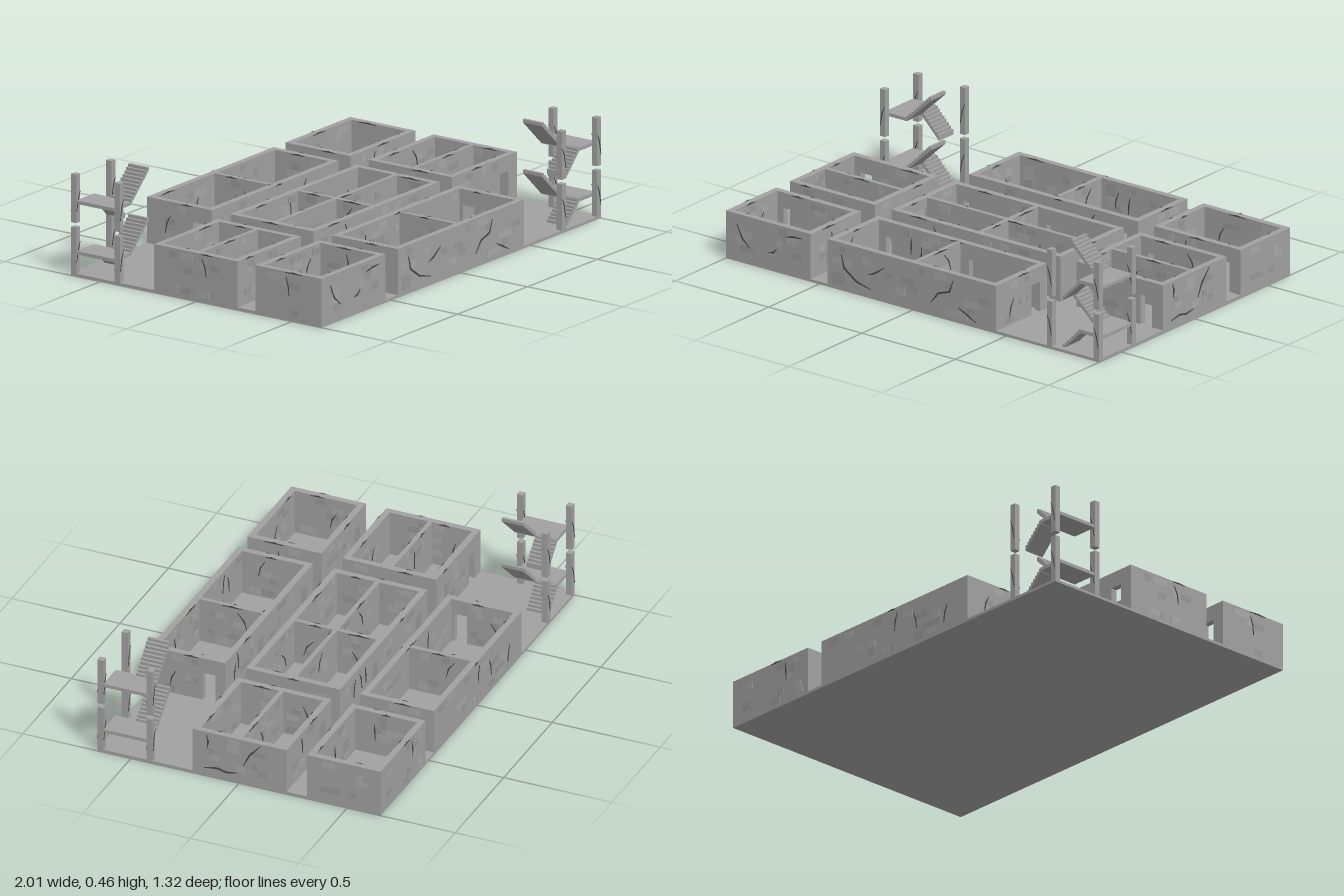
import * as THREE from 'three';
import { mergeGeometries } from 'three/addons/utils/BufferGeometryUtils.js';

const mat = (name, color) => Object.assign(new THREE.MeshStandardMaterial({ color }), { name });

export function createModel() {
  const stone = mat('concrete grey', 0xa1a1a1);
  const pale = mat('pale concrete', 0xa8a8a8);
  const dull = mat('dull concrete', 0x989898);
  const crackMat = mat('crack dark grey', 0x484848);
  const model = new THREE.Group();
  model.name = 'ruinedBuildingFloor';

  const FLOOR = 0.012, TOP = 0.215, T = 0.028;
  let seed = 11;
  const rnd = (a = 0, b = 1) => {
    seed = (seed * 16807) % 2147483647;
    return a + (b - a) * seed / 2147483647;
  };
  const add = (parent, geo, material, name) => {
    const m = new THREE.Mesh(geo, material);
    m.name = name;
    parent.add(m);
    return m;
  };
  const box = (parent, name, x0, x1, y0, y1, z0, z1) => {
    const g = new THREE.BoxGeometry(x1 - x0, y1 - y0, z1 - z0);
    g.translate((x0 + x1) / 2, (y0 + y1) / 2, (z0 + z1) / 2);
    return add(parent, g, stone, name);
  };

  // Tapered crack plate following a few points, centred on depth z
  function crackPlate(pts, z, w = 0.004) {
    const left = [], right = [];
    pts.forEach(([u, v], i) => {
      const a = pts[Math.max(i - 1, 0)], b = pts[Math.min(i + 1, pts.length - 1)];
      const d = new THREE.Vector2(b[0] - a[0], b[1] - a[1]).normalize();
      const h = i === 0 || i === pts.length - 1 ? w * 0.3 : w;
      left.push(new THREE.Vector2(u - d.y * h, v + d.x * h));
      right.unshift(new THREE.Vector2(u + d.y * h, v - d.x * h));
    });
    const g = new THREE.ExtrudeGeometry(new THREE.Shape([...left, ...right]), { depth: 0.005, bevelEnabled: false });
    return g.translate(0, 0, z - 0.0025);
  }

  // Straight wall from a to b; alongX walls sit at z = c, the others at x = c
  function wall(parent, alongX, c, a, b, { t = T, doors = [], cracks = null, crackSide = 1 } = {}) {
    const group = new THREE.Group();
    group.name = 'wall';
    const pts = [[a, FLOOR]];
    [...doors].sort((p, q) => p - q).forEach(d =>
      pts.push([d - 0.03, FLOOR], [d - 0.03, 0.145], [d + 0.03, 0.145], [d + 0.03, FLOOR]));
    pts.push([b, FLOOR], [b, TOP], [a, TOP]);
    const g = new THREE.ExtrudeGeometry(new THREE.Shape(pts.map(p => new THREE.Vector2(...p))),
      { depth: t, bevelEnabled: false });
    add(group, g.translate(0, 0, -t / 2), stone, 'wallPanel');

    const clear = (u0, u1) => doors.every(d => u1 < d - 0.035 || u0 > d + 0.035);
    const patches = { pale: [], dull: [] }, crackGeos = [];
    for (const s of [-1, 1]) {
      // Faint block-shaped stains
      for (let i = 0; i < Math.round((b - a) * 22); i++) {
        const w = rnd(0.03, 0.07), u = rnd(a + 0.05, b - 0.05);
        const y = FLOOR + 0.025 + 0.03 * Math.floor(rnd(0, 6));
        if (!clear(u - w / 2, u + w / 2)) continue;
        const p = new THREE.BoxGeometry(w, 0.029, 0.0015);
        p.translate(u, y, s * t / 2);
        patches[i % 2 ? 'pale' : 'dull'].push(p);
      }
      // Cracks
      if (cracks && s === crackSide) {
        cracks.forEach(k => crackGeos.push(crackPlate(k, s * t / 2)));
        continue;
      }
      for (let i = 0; i < Math.max(1, Math.round((b - a) * 3)); i++) {
        const u = rnd(a + 0.07, b - 0.07), y = rnd(0.12, 0.2), k = rnd(-0.05, 0.05);
        if (!clear(u - 0.06, u + 0.06)) continue;
        crackGeos.push(crackPlate([[u, y], [u + k * 0.7, y - 0.035], [u + k, y - 0.08]], s * t / 2, 0.003));
      }
      // Chipped top edge
      const u = rnd(a + 0.08, b - 0.08), w = rnd(0.04, 0.1);
      const chip = [[u - w / 2, TOP - 0.004], [u, TOP - 0.002], [u + w / 2, TOP - 0.004]];
      crackGeos.push(crackPlate(chip, s * t / 2, 0.003));
    }
    if (patches.pale.length) add(group, mergeGeometries(patches.pale), pale, 'paleStains');
    if (patches.dull.length) add(group, mergeGeometries(patches.dull), dull, 'dullStains');
    if (crackGeos.length) add(group, mergeGeometries(crackGeos), crackMat, 'cracks');
    if (alongX) group.position.z = c;
    else {
      group.rotation.y = -Math.PI / 2;
      group.position.x = c;
    }
    parent.add(group);
  }

  // Room block: four outer walls plus optional dividers
  function block(name, x0, x1, z0, z1, o = {}) {
    const g = new THREE.Group();
    g.name = name;
    const h = T / 2;
    wall(g, true, z0 + h, x0, x1, { doors: o.back, cracks: o.backCracks, crackSide: -1 });
    wall(g, true, z1 - h, x0, x1, { doors: o.front, cracks: o.frontCracks });
    wall(g, false, x0 + h, z0 + T, z1 - T, { doors: o.right });
    wall(g, false, x1 - h, z0 + T, z1 - T, { doors: o.left, cracks: o.leftCracks, crackSide: -1 });
    if (o.splitZ) wall(g, true, 0, x0 + T, x1 - T, { t: 0.02, doors: o.mid });
    if (o.splitX) {
      const spans = o.splitZ ? [[z0 + T, -0.01], [0.01, z1 - T]] : [[z0 + T, z1 - T]];
      spans.forEach(([p, q]) => wall(g, false, 0, p, q, { t: 0.02 }));
    }
    model.add(g);
  }

  box(model, 'floorSlab', -1, 1, 0, FLOOR, -0.655, 0.655);

  block('frontCentreRooms', -0.455, 0.45, 0.31, 0.655, {
    splitX: true, back: [-0.36, 0.085], left: [0.385],
    frontCracks: [
      [[-0.38, 0.165], [-0.365, 0.105], [-0.3, 0.06], [-0.22, 0.04]],
      [[-0.235, 0.105], [-0.2, 0.12], [-0.15, 0.155]],
      [[0.1, 0.06], [0.14, 0.11], [0.2, 0.13], [0.22, 0.185]],
      [[0.25, 0.07], [0.29, 0.05], [0.34, 0.025]]],
  });
  block('frontRightRoom', -1, -0.545, 0.31, 0.655, {
    back: [-0.91],
    frontCracks: [
      [[-0.94, 0.17], [-0.91, 0.11], [-0.87, 0.075]],
      [[-0.77, 0.08], [-0.745, 0.085], [-0.725, 0.105]],
      [[-0.68, 0.17], [-0.64, 0.18], [-0.59, 0.183]]],
  });
  block('backCentreRooms', -0.455, 0.45, -0.655, -0.315, { splitX: true, front: [-0.085, 0.36], right: [-0.385] });
  block('backLeftRoom', 0.535, 1, -0.655, -0.315, { front: [0.91], leftCracks: [] });
  block('middleCentreRooms', -0.455, 0.45, -0.22, 0.215, {
    splitX: true, splitZ: true, back: [-0.36, 0.085], front: [-0.085, 0.36],
  });
  block('middleRightRooms', -1, -0.545, -0.22, 0.215, { splitZ: true, back: [-0.91], front: [-0.63] });
  block('middleLeftRooms', 0.535, 1, -0.22, 0.215, {
    splitZ: true, back: [0.63], front: [0.91],
    leftCracks: [
      [[0.16, 0.04], [0.1, 0.05], [0.06, 0.04], [0.01, 0.048]],
      [[-0.02, 0.09], [-0.05, 0.15], [-0.1, 0.205]],
      [[0.15, 0.2], [0.142, 0.17], [0.147, 0.14]]],
  });

  // Stair flight: stepped top, sloped underside
  function flight(parent, x0, y0, x1, y1, z0, z1, n) {
    const s = new THREE.Shape();
    s.moveTo(x0, y0 - 0.012);
    for (let i = 0; i < n; i++) {
      const x = x0 + (x1 - x0) * i / n, y = y0 + (y1 - y0) * (i + 1) / n;
      s.lineTo(x, y0 + (y1 - y0) * i / n);
      s.lineTo(x, y);
    }
    s.lineTo(x1, y1);
    s.lineTo(x1, y1 - 0.015);
    const g = new THREE.ExtrudeGeometry(s, { depth: z1 - z0, bevelEnabled: false });
    add(parent, g.translate(0, 0, z0), stone, 'stairFlight');
  }

  // Two-storey stairwell, repeated at the opposite corner by a half turn
  function stairwell(name, turn) {
    const g = new THREE.Group();
    g.name = name;
    for (const dy of [0, 0.223]) {
      flight(g, 0.785, FLOOR + dy, 0.88, 0.11 + dy, 0.53, 0.628, 8);
      flight(g, 0.88, 0.11 + dy, 0.75, 0.234 + dy, 0.43, 0.53, 10);
      box(g, 'landing', 0.878, 1, 0.097 + dy, 0.112 + dy, 0.43, 0.628);
      for (const [x, z] of [[0.735, 0.641], [0.986, 0.641], [0.986, 0.414]]) {
        box(g, 'post', x - 0.014, x + 0.014, FLOOR + dy, 0.215 + dy + (dy ? 0.01 : 0), z - 0.014, z + 0.014);
        const k = [[x - 0.012, 0.15 + dy], [x, 0.12 + dy], [x + 0.004, 0.1 + dy], [x + 0.012, 0.06 + dy]];
        add(g, crackPlate(k, z + 0.014, 0.002), crackMat, 'postCrack');
        add(g, crackPlate(k, z - 0.014, 0.002), crackMat, 'postCrack');
      }
    }
    if (turn) g.rotation.y = Math.PI;
    model.add(g);
  }
  stairwell('frontLeftStairwell', false);
  stairwell('backRightStairwell', true);

  return model;
}
